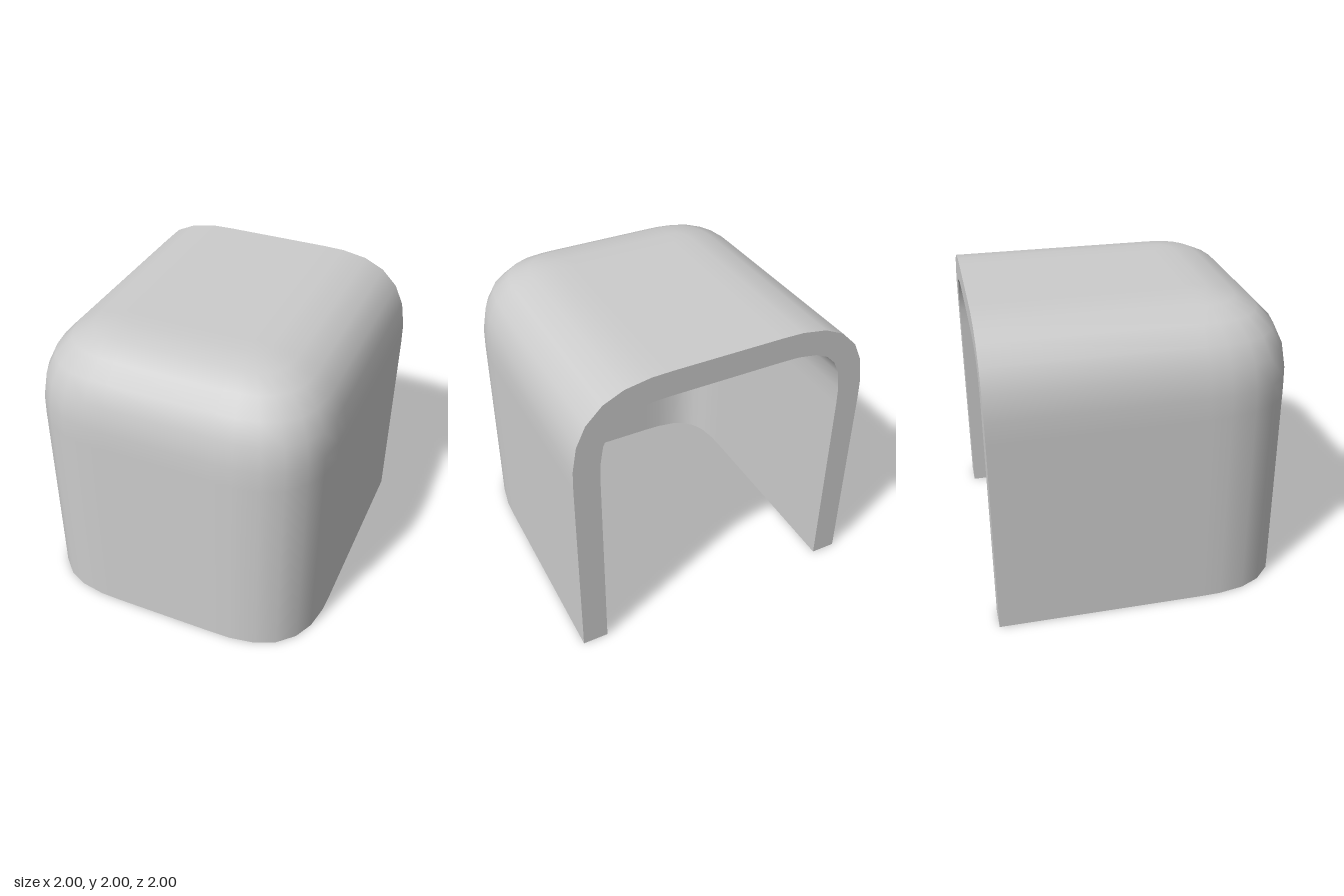
import * as THREE from 'three';

const CORE = 0.36;   // where the flat panels start to bend
const R = 0.64;      // reach of the bend
const POWER = 2.75;  // superellipse exponent of the bend
const WALL = 0.17;
const BEND = [0, 7.1, 21.4, 36.6, 53.4, 68.6, 82.9, 90].map(THREE.MathUtils.degToRad);

const curve = (a) => [Math.cos(a), Math.sin(a)].map((v) => Math.pow(Math.max(v, 0), 2 / POWER));

// Plan columns run back -> front on the left side, then front -> back on the right side
const half = [{ z: -1, a: 0 }, ...BEND.map((a) => ({ z: CORE, a }))];
const columns = [
  ...half.map((c) => ({ ...c, side: 1 })),
  ...half.slice().reverse().map((c) => ({ ...c, side: -1 })),
];
// Rows climb the wall and roll over onto the roof
const rows = [{ y: 0, a: 0 }, ...BEND.map((a) => ({ y: 2 - R, a }))];
const N = columns.length;

// Surface point and normal, pushed inwards by the given depth
function sample(row, col, depth) {
  const [ch, sv] = curve(row.a);
  const [cx, cz] = curve(col.a);
  const d = new THREE.Vector3(col.side * ch * cx, sv, ch * cz);
  const bent = (v) => Math.sign(v) * Math.pow(Math.abs(v), POWER - 1);
  const normal = new THREE.Vector3(bent(d.x), bent(d.y), bent(d.z)).normalize();
  const point = new THREE.Vector3(col.side * CORE, row.y, col.z)
    .addScaledVector(d, R).addScaledVector(normal, -depth);
  return { point, normal };
}

// Smooth skin: wrapped wall rows closed by a flat roof
function skin(depth, flip) {
  const pos = [], nor = [], idx = [];
  const quad = (a, b, c, d) => idx.push(...(flip ? [a, c, b, a, d, c] : [a, b, c, a, c, d]));
  rows.forEach((row) => columns.forEach((col) => {
    const { point, normal } = sample(row, col, depth);
    pos.push(...point.toArray());
    nor.push(...normal.multiplyScalar(flip ? -1 : 1).toArray());
  }));
  for (let r = 0; r < rows.length - 1; r++) {
    for (let c = 0; c < N - 1; c++) {
      const a = r * N + c;
      quad(a, a + N, a + N + 1, a + 1);
    }
  }
  const top = (rows.length - 1) * N;
  quad(top, top + N - 1, top + N - 2, top + 1);
  const geo = new THREE.BufferGeometry();
  geo.setAttribute('position', new THREE.Float32BufferAttribute(pos, 3));
  geo.setAttribute('normal', new THREE.Float32BufferAttribute(nor, 3));
  geo.setIndex(idx);
  return geo;
}

// Flat strip joining the outer and inner skins along a list of [row, column] stations
function rim(stations, flip) {
  const pos = [];
  const pairs = stations.map(([r, c]) => [sample(r, c, 0).point, sample(r, c, WALL).point]);
  for (let k = 0; k < pairs.length - 1; k++) {
    const [o, i] = pairs[k], [o2, i2] = pairs[k + 1];
    const tris = flip ? [o, o2, i2, o, i2, i] : [o, i, i2, o, i2, o2];
    tris.forEach((p) => pos.push(p.x, p.y, p.z));
  }
  const geo = new THREE.BufferGeometry();
  geo.setAttribute('position', new THREE.Float32BufferAttribute(pos, 3));
  geo.computeVertexNormals();
  return geo;
}

export function createModel() {
  const group = new THREE.Group();
  group.name = 'roundedShell';
  const material = new THREE.MeshStandardMaterial({ color: 0xcccccc });
  const add = (name, geo) => {
    const mesh = new THREE.Mesh(geo, material);
    mesh.name = name;
    group.add(mesh);
  };

  add('outerSkin', skin(0, false));
  add('innerSkin', skin(WALL, true));

  // Rims of the open bottom and the open back
  add('bottomRim', rim(columns.map((c) => [rows[0], c]), true));
  add('backRim', rim([
    ...rows.map((r) => [r, columns[0]]),
    ...rows.slice().reverse().map((r) => [r, columns[N - 1]]),
  ], false));

  return group;
}
